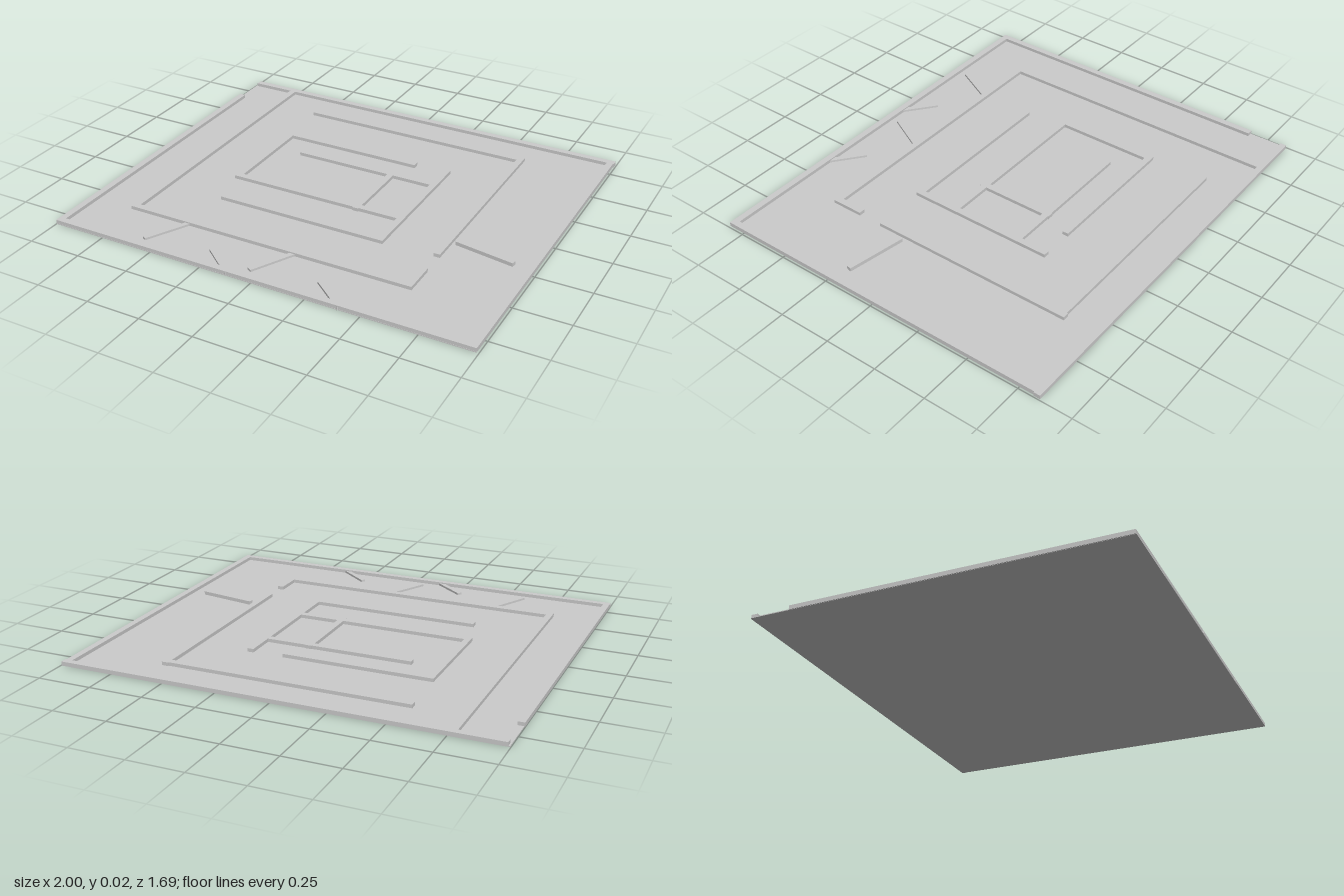
import * as THREE from 'three';

const material = new THREE.MeshStandardMaterial({ color: 0xcccccc, flatShading: true });
const WALL_TOP = 0.02;
const T = 0.03; // wall thickness

export function createModel() {
  const model = new THREE.Group();

  // Axis-aligned block between two x, two y and two z limits
  function block(name, x0, x1, z0, z1, y0 = 0.001, y1 = WALL_TOP) {
    const mesh = new THREE.Mesh(new THREE.BoxGeometry(x1 - x0, y1 - y0, z1 - z0), material);
    mesh.name = name;
    mesh.position.set((x0 + x1) / 2, (y0 + y1) / 2, (z0 + z1) / 2);
    model.add(mesh);
  }

  // Slanted bar along a centre line from (xa, za) to (xb, zb)
  function bar(name, xa, za, xb, zb, width, top) {
    const length = Math.hypot(xb - xa, zb - za);
    const mesh = new THREE.Mesh(new THREE.BoxGeometry(length, top, width), material);
    mesh.name = name;
    mesh.position.set((xa + xb) / 2, top / 2, (za + zb) / 2);
    mesh.rotation.y = -Math.atan2(zb - za, xb - xa);
    model.add(mesh);
  }

  // Floor plate
  block('floor', -0.997, 0.99, -0.847, 0.836, 0, 0.004);

  // Walls: horizontal runs [x0, x1, z0], vertical runs [x0, z0, z1]
  const alongX = {
    outerBackWall: [-0.99, 0.995, -0.85],
    outerFrontWall: [-0.99, 0.99, 0.805],
    ringFrontWall: [-0.785, 0.6, 0.55],
    ringBackWall: [-0.545, 0.6, -0.675],
    roomBackWall: [-0.53, 0.165, -0.395],
    roomFrontWall: [-0.53, 0.32, 0.09],
    roomMiddleWall: [-0.38, 0.32, -0.255],
    coreFrontWall: [-0.48, 0.337, 0.29],
  };
  const alongZ = {
    outerLeftWall: [0.96, -0.84, 0.835],
    outerRightWall: [-1, -0.66, 0.835],
    ringRightWall: [-0.785, -0.83, 0.58],
    ringLeftWall: [0.57, -0.68, 0.305],
    ringLeftStub: [0.57, 0.425, 0.58],
    roomRightWall: [-0.532, -0.395, 0.12],
    roomPartition: [0.09, -0.258, 0.125],
    coreLeftWall: [0.308, -0.395, 0.32],
  };
  for (const [name, [x0, x1, z]] of Object.entries(alongX)) block(name, x0, x1, z, z + T);
  for (const [name, [x, z0, z1]] of Object.entries(alongZ)) block(name, x, x + T, z0, z1);

  // Slanted bar in the left corridor
  bar('corridorBar', 0.618, 0.168, 0.895, 0.215, 0.023, 0.021);

  // Staggered baffles in the front corridor, alternating between its two walls
  for (const dx of [0, 0.53]) {
    bar('innerBaffle', -0.478 + dx, 0.568, -0.58 + dx, 0.765, 0.022, 0.014);
    bar('outerBaffle', -0.115 + dx * 0.985, 0.83, -0.272 + dx * 0.985, 0.705, 0.022, 0.014);
  }
  return model;
}
